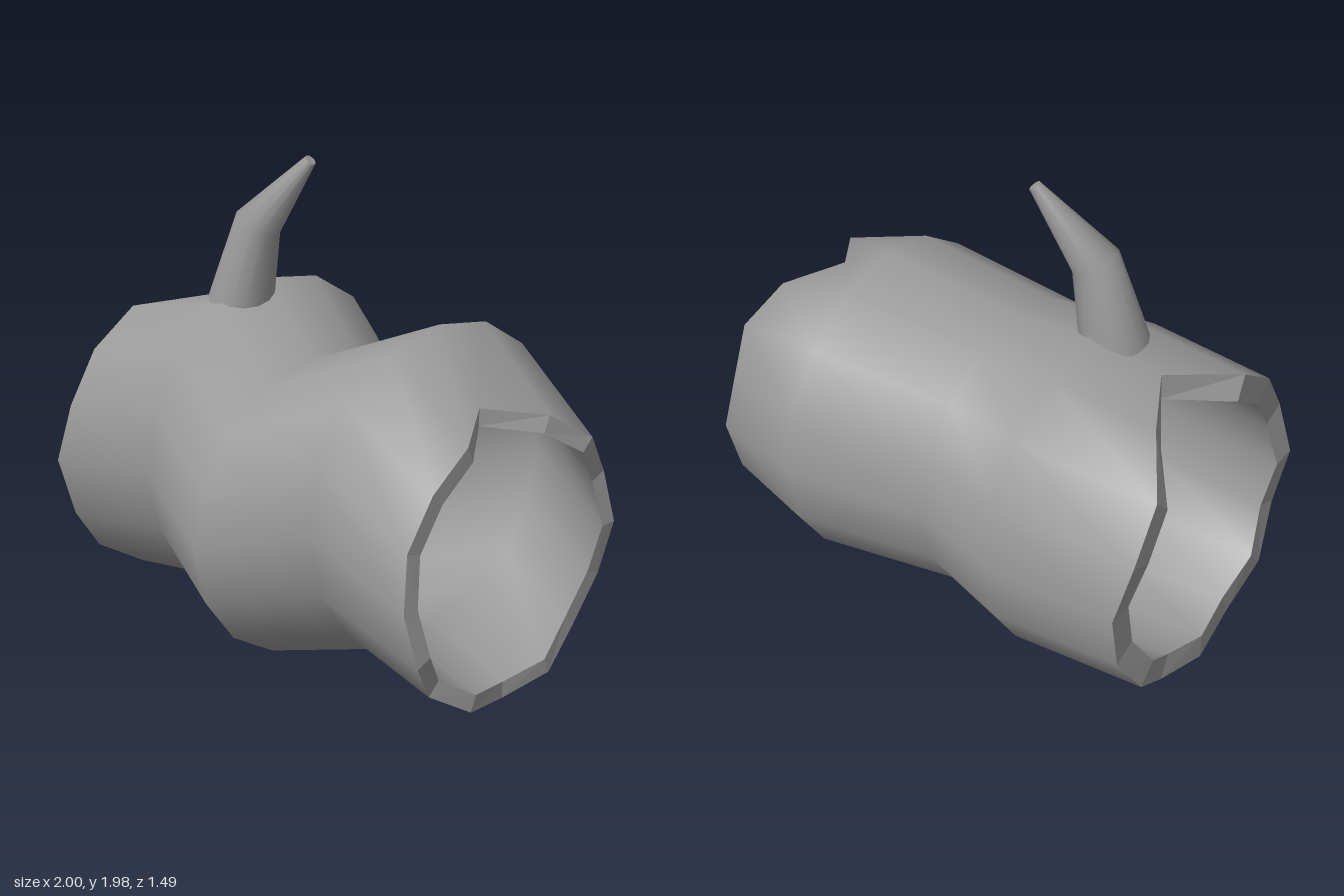
import * as THREE from 'three';

const SIDES = 16;
const bark = new THREE.MeshStandardMaterial({ color: 0x999999 });
bark.name = 'grey wood';

// Skin closed rings of points in order; flat gives hard facets
function loft(name, rings, flat = false) {
  const n = rings[0].length;
  const index = [];
  for (let i = 0; i < rings.length - 1; i++) {
    for (let k = 0; k < n; k++) {
      const a = i * n + k, b = i * n + (k + 1) % n;
      index.push(a, a + n, b, b, a + n, b + n);
    }
  }
  let geometry = new THREE.BufferGeometry().setFromPoints(rings.flat());
  geometry.setIndex(index);
  if (flat) geometry = geometry.toNonIndexed();
  geometry.computeVertexNormals();
  const mesh = new THREE.Mesh(geometry, bark);
  mesh.name = name;
  return mesh;
}

// Cross-section of the trunk; xs is one position or one per corner
function trunkRing(xs, y, z, r) {
  return Array.from({ length: SIDES }, (_, k) => {
    const a = (k / SIDES) * Math.PI * 2;
    const x = Array.isArray(xs) ? xs[k] : xs;
    return new THREE.Vector3(x, y + Math.sin(a) * r, z + Math.cos(a) * r);
  });
}

// Tapered limb through [x, y, z, radius] stops, closed at the tip
function limb(name, stops) {
  const points = stops.map(([x, y, z]) => new THREE.Vector3(x, y, z));
  const rings = stops.map((s, i) => {
    const t = points[Math.min(i + 1, points.length - 1)].clone()
      .sub(points[Math.max(i - 1, 0)]).normalize();
    const u = new THREE.Vector3(0, 0, 1).addScaledVector(t, -t.z).normalize();
    const v = u.clone().cross(t);
    return Array.from({ length: 14 }, (_, k) => {
      const a = (k / 14) * Math.PI * 2;
      return points[i].clone()
        .addScaledVector(u, Math.cos(a) * s[3])
        .addScaledVector(v, Math.sin(a) * s[3]);
    });
  });
  const tip = rings[rings.length - 1];
  const group = new THREE.Group();
  group.name = name;
  group.add(loft(name + 'Side', rings));
  group.add(loft(name + 'Tip', [tip, tip.map(() => points[points.length - 1])], true));
  return group;
}

export function createModel() {
  const model = new THREE.Group();
  model.name = 'hollowLog';

  // Jagged ends, from the front side over the top to the back and under
  const rightEnd = [0.97, 0.94, 0.94, 0.93, 0.78, 0.93, 0.985, 0.95,
    0.98, 0.95, 0.94, 0.98, 0.94, 0.98, 0.94, 1];
  const leftEnd = [-0.985, -0.94, -0.95, -0.95, -0.73, -0.86, -1, -1,
    -0.95, -0.95, -0.98, -0.95, -0.985, -0.96, -0.985, -0.95];

  // Position along x, centre y and z, outer radius, inner radius
  const stations = [
    [leftEnd, 0.67, 0.02, 0.64, 0.53],
    [-0.47, 0.76, -0.07, 0.665, 0.58],
    [0, 0.63, 0.12, 0.62, 0.54],
    [0.47, 0.8, -0.085, 0.665, 0.58],
    [rightEnd, 0.68, 0.025, 0.57, 0.5],
  ];
  const outer = stations.map(([x, y, z, r]) => trunkRing(x, y, z, r));
  const inner = stations.map(([x, y, z, , r]) => trunkRing(x, y, z, r));

  // Hollow trunk and its broken rims
  model.add(loft('trunkOutside', outer));
  model.add(loft('trunkInside', [...inner].reverse()));
  model.add(loft('rightRim', [outer[4], inner[4]], true));
  model.add(loft('leftRim', [inner[0], outer[0]], true));

  // Bent branch on top and cut stub underneath
  model.add(limb('branch', [
    [-0.5, 1.34, 0.06, 0.135],
    [-0.42, 1.69, 0.03, 0.095],
    [-0.2, 1.97, -0.05, 0.024],
  ]));
  model.add(limb('stub', [
    [0.47, 0.19, -0.09, 0.09],
    [0.445, 0.065, -0.055, 0.08],
  ]));
  return model;
}
